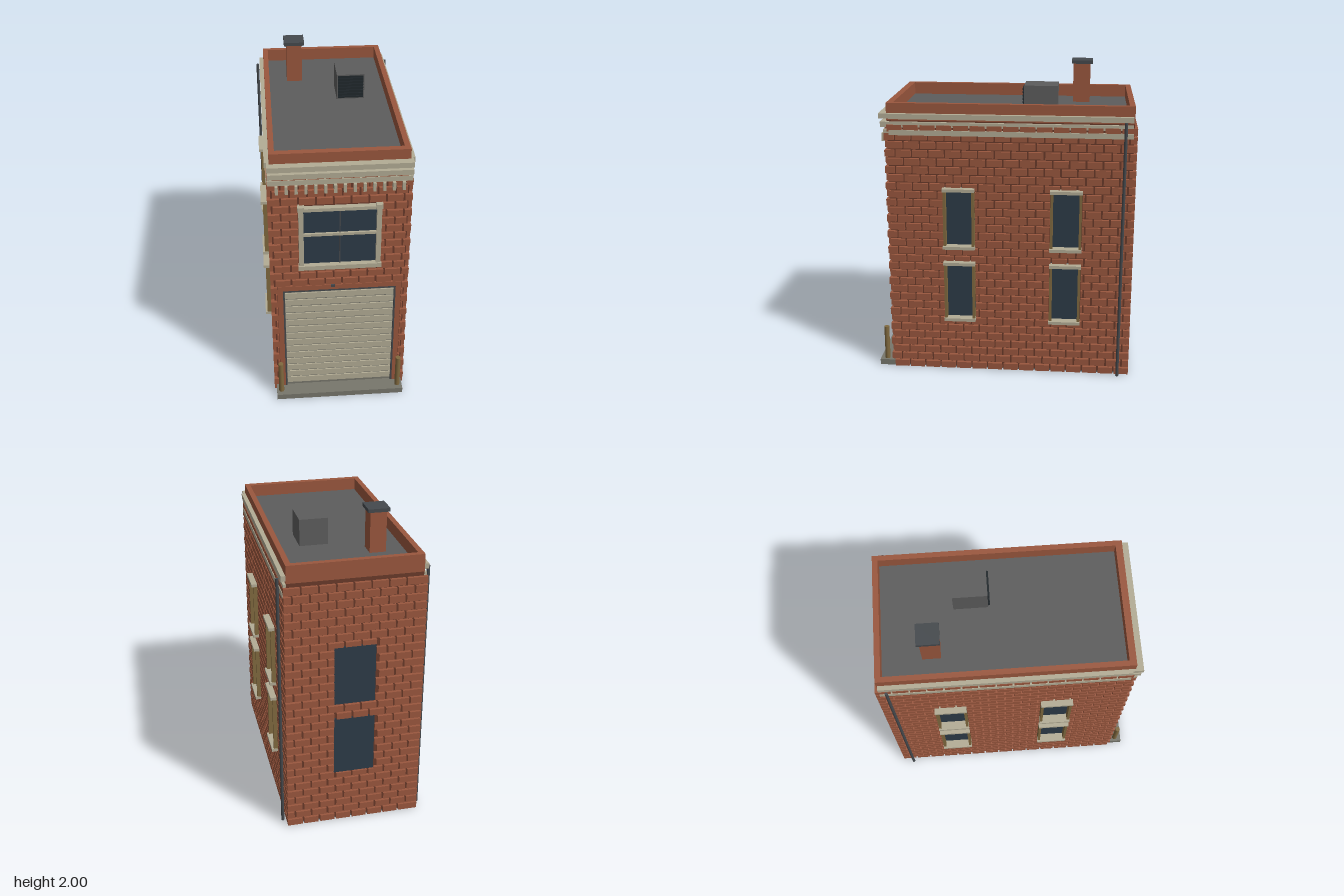
import * as THREE from 'three';
import { mergeGeometries } from 'three/addons/utils/BufferGeometryUtils.js';

const paint = (name, color) => {
  const m = new THREE.MeshStandardMaterial({ color });
  m.name = name;
  return m;
};

// Box geometry from its lower and upper limits on each axis
function span(x0, x1, y0, y1, z0, z1) {
  return new THREE.BoxGeometry(x1 - x0, y1 - y0, z1 - z0)
    .translate((x0 + x1) / 2, (y0 + y1) / 2, (z0 + z1) / 2);
}

// Cut an opening out of a list of rectangles [u0, u1, y0, y1]
function cut(rects, [a0, a1, b0, b1]) {
  return rects.flatMap(([u0, u1, y0, y1]) => {
    if (u1 <= a0 || u0 >= a1 || y1 <= b0 || y0 >= b1) return [[u0, u1, y0, y1]];
    const l = Math.max(u0, a0), r = Math.min(u1, a1);
    return [[u0, a0, y0, y1], [a1, u1, y0, y1], [l, r, y0, b0], [l, r, b1, y1]]
      .filter(([p, q, s, t]) => q - p > 0.008 && t - s > 0.008);
  });
}

// Running-bond bricks on a wall, trimmed around its openings
function brickRects(from, to, top, openings) {
  const pitch = 0.054, length = 0.105, gap = 0.011;
  let rects = [];
  for (let row = 0; (row + 1) * pitch <= top; row++) {
    const y = row * pitch;
    for (let u = from - (row % 2) * length / 2; u < to; u += length) {
      const a = Math.max(u, from), b = Math.min(u + length - gap, to);
      if (b - a > 0.01) rects.push([a, b, y + 0.002, y + pitch - gap + 0.002]);
    }
  }
  for (const o of openings) rects = cut(rects, o);
  return rects;
}

export function createModel() {
  const model = new THREE.Group();
  model.name = 'brickBuilding';

  const brick = paint('brick red', 0x9a573e);
  const mortar = paint('dark mortar', 0x693a2a);
  const stone = paint('pale stone', 0xb3ac95);
  const glass = paint('window glass', 0x2d3b48);
  const tan = paint('weathered tan', 0x80693f);
  const roofGrey = paint('roof grey', 0x5d5d5d);
  const metal = paint('dark metal', 0x45494d);
  const vent = paint('vent black', 0x20272b);
  const paving = paint('paving grey', 0x77766c);

  const add = (name, geos, mat) => {
    const list = Array.isArray(geos) ? geos : [geos];
    const mesh = new THREE.Mesh(list.length > 1 ? mergeGeometries(list) : list[0], mat);
    mesh.name = name;
    model.add(mesh);
  };

  // Core, floor, roof and parapet
  add('wallCore', span(-0.41, 0.41, 0.01, 1.7, -0.815, 0.73), mortar);
  add('floorSlab', span(-0.41, 0.41, 0, 0.01, -0.815, 0.73), roofGrey);
  add('roofDeck', span(-0.38, 0.38, 1.7, 1.72, -0.785, 0.69), roofGrey);
  add('parapet', [
    span(-0.412, 0.412, 1.69, 1.8, 0.69, 0.732),
    span(-0.412, 0.412, 1.69, 1.8, -0.817, -0.782),
    span(-0.412, -0.378, 1.69, 1.8, -0.782, 0.69),
    span(0.378, 0.412, 1.69, 1.8, -0.782, 0.69),
  ], brick);

  // Brick faces
  const floors = [[0.36, 0.77], [0.86, 1.265]];
  const bays = [-0.405, 0.28];
  const sideOpenings = floors.flatMap(([b, t]) => bays.map(z => [z - 0.103, z + 0.103, b, t]));
  const backOpenings = floors.map(([b, t]) => [-0.13, 0.13, b, t - 0.01]);
  const frontOpenings = [[-0.39, 0.39, 0, 0.865], [-0.25, 0.25, 1.0, 1.445]];
  const sideRects = brickRects(-0.835, 0.748, 1.7, sideOpenings);
  for (const s of [-1, 1]) {
    add(s > 0 ? 'leftBricks' : 'rightBricks', sideRects.map(([a, b, y0, y1]) =>
      s > 0 ? span(0.4, 0.431, y0, y1, a, b) : span(-0.431, -0.4, y0, y1, a, b)), brick);
  }
  add('backBricks', brickRects(-0.4, 0.4, 1.7, backOpenings)
    .map(([a, b, y0, y1]) => span(a, b, y0, y1, -0.835, -0.805)), brick);
  add('frontBricks', brickRects(-0.4, 0.4, 1.7, frontOpenings)
    .map(([a, b, y0, y1]) => span(a, b, y0, y1, 0.72, 0.748)), brick);

  // Cornice bands along the front and both sides
  const bands = [[1.6, 1.633, 0.435, 0.752], [1.65, 1.683, 0.428, 0.77], [1.703, 1.736, 0.44, 0.78]];
  add('corniceBands', bands.flatMap(([y0, y1, x, z]) => [
    span(-0.427, 0.427, y0, y1, 0.7, z),
    span(-x, -0.4, y0, y1, -0.81, 0.715),
    span(0.4, x, y0, y1, -0.81, 0.715),
  ]), stone);
  const dentils = [];
  for (let i = 0; i < 14; i++) {
    const x = -0.374 + i * 0.0575;
    dentils.push(span(x - 0.009, x + 0.009, 1.55, 1.602, 0.73, 0.773));
  }
  add('dentils', dentils, stone);

  // Front window
  add('frontGlass', span(-0.225, 0.225, 1.02, 1.43, 0.73, 0.738), glass);
  add('frontWindowFrame', [
    span(-0.255, 0.255, 1.0, 1.03, 0.73, 0.772),
    span(-0.24, 0.24, 1.42, 1.442, 0.73, 0.766),
    span(-0.25, -0.22, 1.03, 1.42, 0.73, 0.762),
    span(0.22, 0.25, 1.03, 1.42, 0.73, 0.762),
    span(-0.22, 0.22, 1.236, 1.254, 0.73, 0.752),
  ], stone);
  add('frontWindowCornerBlocks', [-0.235, 0.235].map(x =>
    span(x - 0.02, x + 0.02, 1.425, 1.455, 0.73, 0.773)), stone);
  add('frontMullion', span(-0.004, 0.004, 1.03, 1.42, 0.73, 0.747), metal);

  // Side windows
  const panes = [], ledges = [], jambs = [];
  for (const s of [-1, 1]) {
    const out = (x, y0, y1, z0, z1) =>
      s > 0 ? span(0.405, x, y0, y1, z0, z1) : span(-x, -0.405, y0, y1, z0, z1);
    for (const z of bays) for (const [b, t] of floors) {
      panes.push(out(0.414, b, t, z - 0.1, z + 0.1));
      ledges.push(out(0.47, b, b + 0.02, z - 0.103, z + 0.103));
      ledges.push(out(0.47, t - 0.02, t, z - 0.103, z + 0.103));
      jambs.push(out(0.457, b + 0.02, t - 0.02, z - 0.1, z - 0.083));
      jambs.push(out(0.457, b + 0.02, t - 0.02, z + 0.083, z + 0.1));
    }
  }
  add('sideGlass', panes, glass);
  add('sideSillsAndHeaders', ledges, stone);
  add('sideJambs', jambs, tan);

  // Back windows
  add('backGlass', backOpenings.map(([a, b, y0, y1]) => span(a, b, y0, y1, -0.822, -0.814)), glass);

  // Roller door, its brick surround and metal frame
  add('doorSurround', [
    span(-0.388, -0.355, 0.01, 0.862, 0.72, 0.746),
    span(0.355, 0.388, 0.01, 0.862, 0.72, 0.746),
    span(-0.355, 0.355, 0.828, 0.862, 0.72, 0.746),
  ], brick);
  add('doorFrame', [
    span(-0.356, -0.345, 0.03, 0.828, 0.72, 0.744),
    span(0.345, 0.356, 0.03, 0.828, 0.72, 0.744),
    span(-0.345, 0.345, 0.816, 0.828, 0.72, 0.744),
  ], metal);
  add('doorBacking', span(-0.345, 0.345, 0.03, 0.816, 0.725, 0.733), paving);
  const slats = [];
  for (let i = 0; i < 14; i++) {
    const y = 0.06 + i * 0.054;
    slats.push(span(-0.343, 0.343, y, y + 0.043, 0.73, 0.741));
  }
  add('doorSlats', slats, stone);
  add('doorLamp', span(-0.055, -0.03, 0.85, 0.868, 0.74, 0.755), metal);

  // Front step and bollards
  add('frontStep', span(-0.417, 0.417, 0, 0.038, 0.72, 0.835), paving);
  add('bollards', [-0.386, 0.386].map(x =>
    new THREE.CylinderGeometry(0.017, 0.017, 0.235, 12).translate(x, 0.152, 0.79)), tan);

  // Downpipes
  add('downpipes', [-0.453, 0.453].map(x =>
    new THREE.CylinderGeometry(0.01, 0.01, 1.705, 10).translate(x, 0.8525, -0.762)), metal);

  // Chimney
  add('chimney', span(-0.257, -0.155, 1.72, 1.98, -0.538, -0.425), brick);
  add('chimneyCap', span(-0.273, -0.138, 1.978, 2.0, -0.553, -0.414), metal);

  // Rooftop air unit with a louvred front
  add('airUnit', span(0.055, 0.235, 1.72, 1.89, -0.335, -0.122), roofGrey);
  add('airUnitGrille', span(0.063, 0.227, 1.728, 1.882, -0.123, -0.119), vent);
  const louvres = [];
  for (let i = 0; i < 7; i++) {
    const y = 1.735 + i * 0.021;
    louvres.push(span(0.063, 0.227, y, y + 0.008, -0.12, -0.11));
  }
  add('airUnitLouvres', louvres, vent);

  return model;
}
